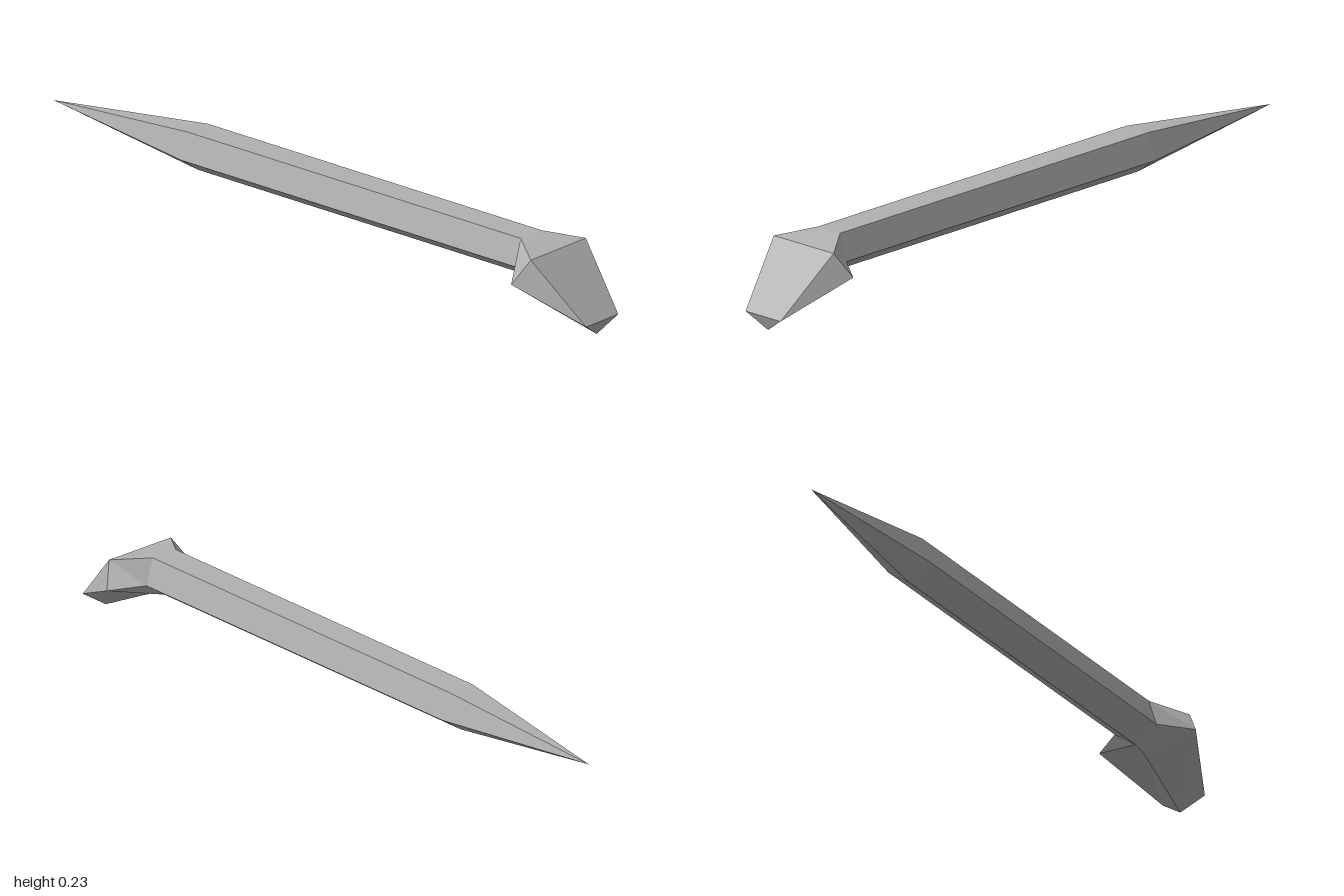
import * as THREE from 'three';

// Five-sided ring, counter-clockwise seen from the front; top, side, keel = [halfWidth, y, z]
function ring(top, side, keel) {
  const v = (x, y, z) => new THREE.Vector3(x, y, z);
  return [
    v(top[0], top[1], top[2]), v(-top[0], top[1], top[2]),
    v(-side[0], side[1], side[2]), v(0, keel[0], keel[1]),
    v(side[0], side[1], side[2]),
  ];
}

// Skin between successive rings, from back to front, with an optional front cap
function loft(rings, capFront) {
  const points = [];
  const tri = (a, b, c) => {
    if (a.equals(b) || b.equals(c) || c.equals(a)) return;
    for (const p of [a, b, c]) points.push(p.x, p.y, p.z);
  };
  for (let k = 0; k < rings.length - 1; k++) {
    const b = rings[k], f = rings[k + 1];
    for (let i = 0; i < 5; i++) {
      const j = (i + 1) % 5;
      tri(b[i], b[j], f[j]);
      tri(b[i], f[j], f[i]);
    }
  }
  if (capFront) {
    const f = rings[rings.length - 1];
    for (let i = 1; i < 4; i++) tri(f[0], f[i], f[i + 1]);
  }
  const g = new THREE.BufferGeometry();
  g.setAttribute('position', new THREE.Float32BufferAttribute(points, 3));
  g.computeVertexNormals();
  return g;
}

export function createModel() {
  const group = new THREE.Group();
  const steel = new THREE.MeshStandardMaterial({ color: 0xb0b0b0 });
  steel.name = 'steel grey';
  steel.flatShading = true;

  const shaftRing = (z) => ring([0.042, 0.23, z], [0.066, 0.154, z], [0.108, z]);
  const tip = ring([0, 0.177, -1], [0, 0.177, -1], [0.177, -1]);
  const shaftBack = shaftRing(-0.475);
  const shaftFront = shaftRing(0.74);
  // Flared collar, then the bent striking end whose sides meet its top corners
  const collar = ring([0.113, 0.212, 0.84], [0.153, 0.143, 0.804], [0.1, 0.782]);
  const end = ring([0.066, 0.044, 1], [0.066, 0.044, 1], [0, 0.98]);

  const add = (name, rings, cap = false) => {
    const mesh = new THREE.Mesh(loft(rings, cap), steel);
    mesh.name = name;
    group.add(mesh);
  };
  add('point', [tip, shaftBack]);
  add('shaft', [shaftBack, shaftFront]);
  add('head', [shaftFront, collar, end], true);

  group.name = 'spike';
  return group;
}
